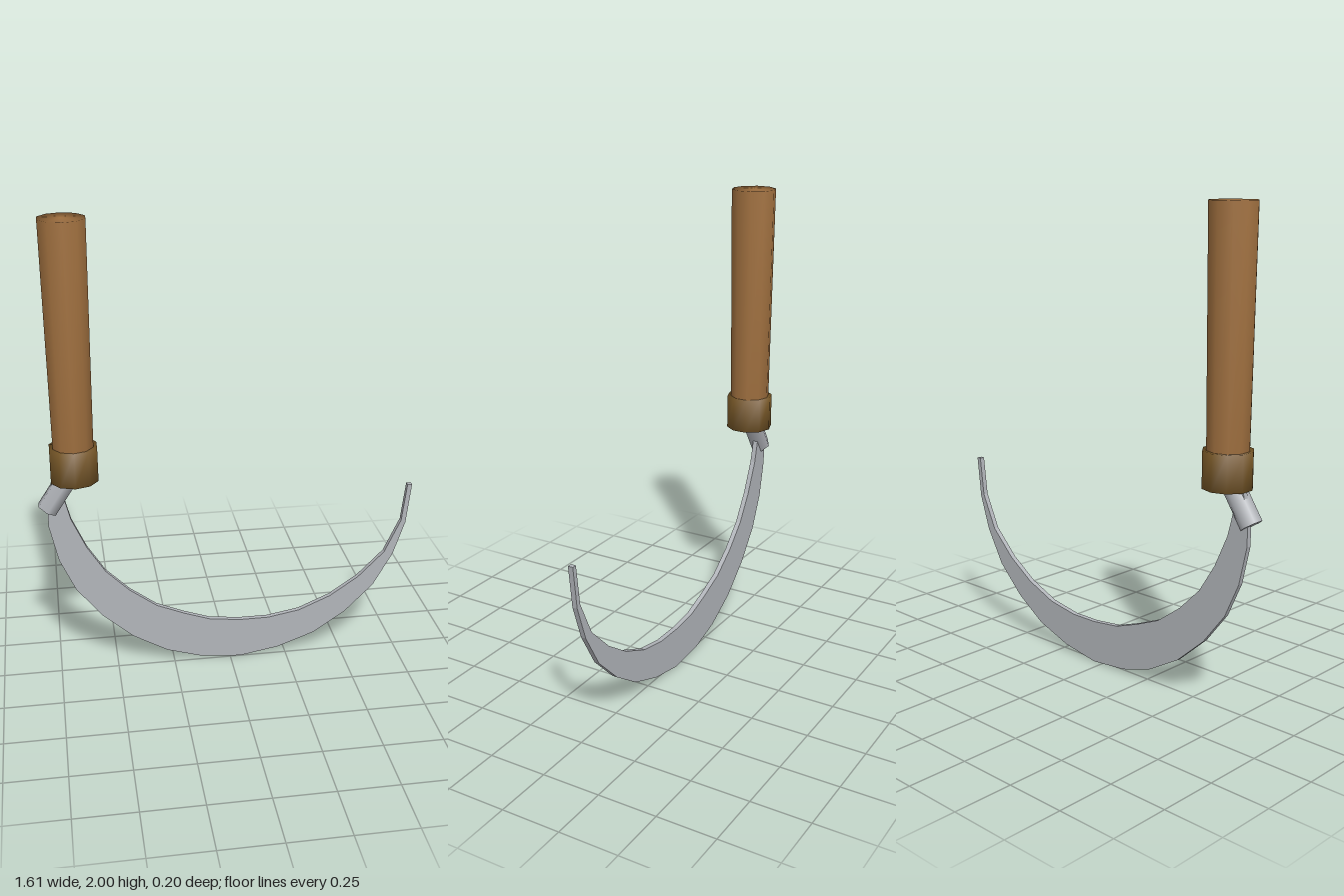
import * as THREE from 'three';
import { mergeVertices } from 'three/addons/utils/BufferGeometryUtils.js';

const wood = new THREE.MeshStandardMaterial({ color: 0xa0703f });
wood.name = 'wood';
const darkWood = new THREE.MeshStandardMaterial({ color: 0x785828 });
darkWood.name = 'dark wood';
const steel = new THREE.MeshStandardMaterial({ color: 0xb2b5ba });
steel.name = 'steel';

// Cylinder whose sides and caps share soft normals
function softCylinder(rTop, rBottom, height, sides) {
  const g = new THREE.CylinderGeometry(rTop, rBottom, height, sides);
  g.deleteAttribute('normal');
  g.deleteAttribute('uv');
  const merged = mergeVertices(g, 1e-4);
  merged.computeVertexNormals();
  return merged;
}

export function createModel() {
  const group = new THREE.Group();
  const add = (name, geometry, material, x, y, z = 0) => {
    const mesh = new THREE.Mesh(geometry, material);
    mesh.name = name;
    mesh.position.set(x, y, z);
    group.add(mesh);
    return mesh;
  };

  // Tapered ten-sided handle and its collar
  const hx = -0.652;
  add('handle', softCylinder(0.097, 0.086, 1.0, 10), wood, hx, 1.5);
  add('collar', softCylinder(0.102, 0.102, 0.15, 10), darkWood, hx, 0.99);

  // Slanted hexagonal tang joining blade and handle
  const tangLength = 0.28, tilt = 0.58;
  const tang = add('tang', new THREE.CylinderGeometry(0.046, 0.046, tangLength, 6), steel,
    -0.772 + Math.sin(tilt) * tangLength / 2, 0.787 + Math.cos(tilt) * tangLength / 2);
  tang.rotation.z = -tilt;

  // Crescent blade: outer edge out to the tip, inner edge back
  const outer = [
    [-0.735, 0.97], [-0.77, 0.80], [-0.77, 0.705], [-0.735, 0.545], [-0.67, 0.40], [-0.565, 0.265],
    [-0.43, 0.145], [-0.28, 0.06], [-0.13, 0.015], [0.045, 0], [0.215, 0.03], [0.38, 0.09],
    [0.52, 0.185], [0.645, 0.31], [0.73, 0.46], [0.78, 0.61], [0.80, 0.79],
  ];
  const inner = [
    [-0.70, 0.83], [-0.675, 0.73], [-0.615, 0.595], [-0.54, 0.475], [-0.44, 0.375], [-0.325, 0.29],
    [-0.205, 0.24], [-0.09, 0.20], [0.045, 0.185], [0.17, 0.185], [0.31, 0.21], [0.45, 0.27],
    [0.575, 0.355], [0.69, 0.47], [0.76, 0.62], [0.78, 0.79],
  ];
  const outline = [...outer, ...inner.reverse()].map(([x, y]) => new THREE.Vector2(x, y));
  const blade = new THREE.ExtrudeGeometry(new THREE.Shape(outline), { depth: 0.022, bevelEnabled: false });
  add('blade', blade, steel, 0, 0, -0.022);

  return group;
}
